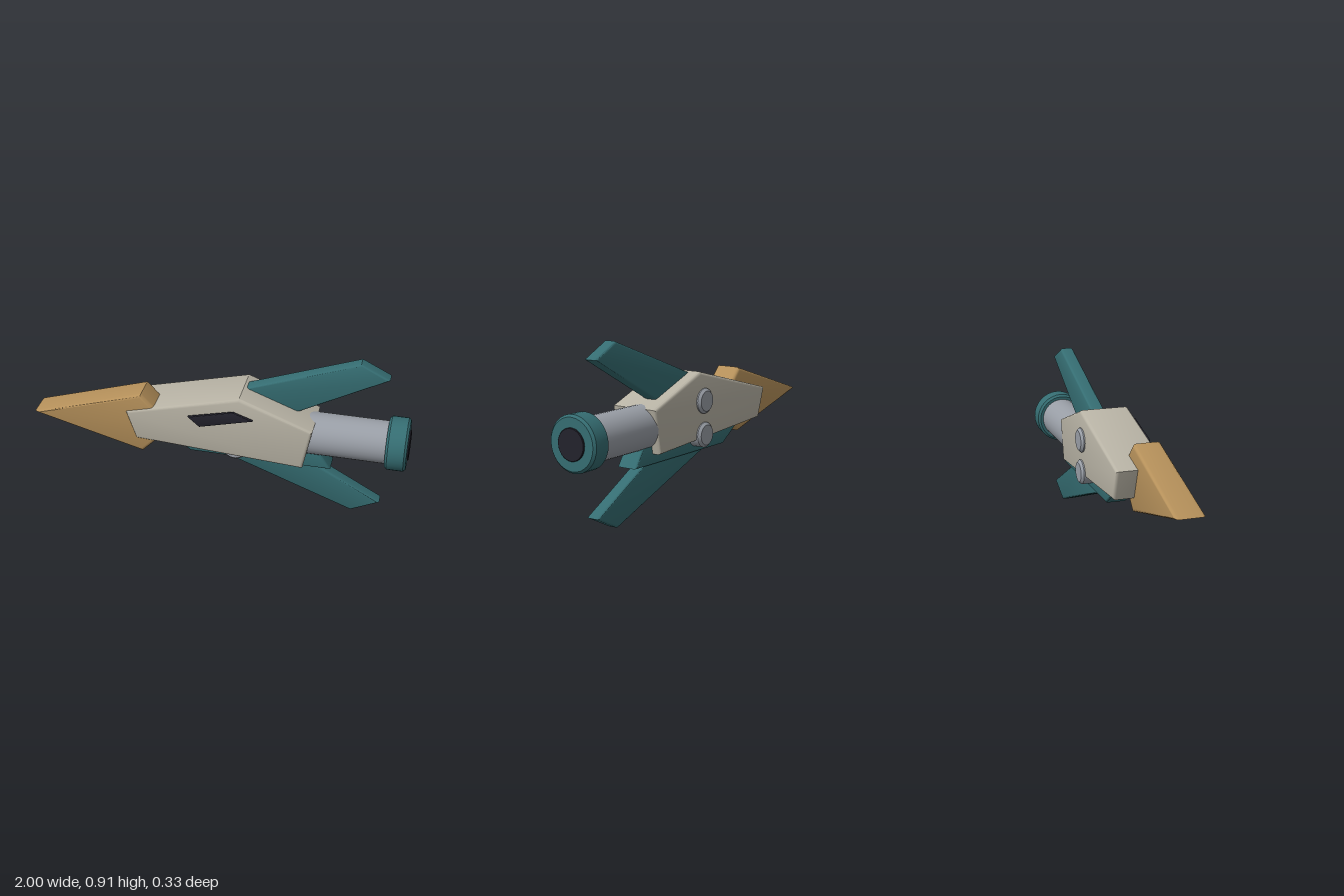
import * as THREE from 'three';
import { toCreasedNormals } from 'three/addons/utils/BufferGeometryUtils.js';

const mat = (name, color) => {
  const m = new THREE.MeshStandardMaterial({ color });
  m.name = name;
  return m;
};

// Bevelled slab: outline in x/y, filling z0..z1 exactly
function slab(points, z0, z1, bevel) {
  const shape = new THREE.Shape(points.map(([x, y]) => new THREE.Vector2(x, y)));
  const geo = new THREE.ExtrudeGeometry(shape, {
    depth: z1 - z0 - 2 * bevel,
    bevelEnabled: true,
    bevelThickness: bevel,
    bevelSize: bevel,
    bevelOffset: -bevel,
    bevelSegments: 3,
  });
  geo.translate(0, 0, z0 + bevel);
  return toCreasedNormals(geo, 0.6);
}

// Solid round bar with chamfered ends, running along y from a to b
function bar(radius, a, b, chamfer) {
  const profile = [
    [0, a], [radius - chamfer, a], [radius, a + chamfer],
    [radius, b - chamfer], [radius - chamfer, b], [0, b],
  ].map(([r, y]) => new THREE.Vector2(r, y));
  return toCreasedNormals(new THREE.LatheGeometry(profile, 32), 0.5);
}

export function createModel() {
  const model = new THREE.Group();
  model.name = 'rocketShip';

  const cream = mat('cream hull', 0xb8b3a5);
  const teal = mat('teal trim', 0x356d72);
  const gold = mat('gold nose', 0xb5905a);
  const grey = mat('grey metal', 0x999ea6);
  const dark = mat('dark glass', 0x23222c);

  const add = (name, geometry, material) => {
    const mesh = new THREE.Mesh(geometry, material);
    mesh.name = name;
    model.add(mesh);
    return mesh;
  };

  const axisY = 0.457, axisZ = -0.023;

  // Hull
  add('hull', slab([
    [-0.485, 0.54], [-0.43, 0.378], [0.465, 0.325], [0.51, 0.555], [0.125, 0.7],
  ], -0.137, 0.133, 0.016), cream);

  // Kite-shaped nose, set into the hull
  add('nose', slab([
    [-1, axisY], [-0.4, 0.293], [-0.23, 0.47], [-0.4, 0.65],
  ], -0.025, 0.125, 0.018), gold);

  // Swept fins, mirrored about the engine axis
  const fin = [[-0.2, 0.567], [0.2, 0.469], [0.87, 0.838], [0.72, 0.913]];
  add('upperFin', slab(fin, -0.071, 0.002, 0.013), teal);
  add('lowerFin', slab(
    fin.map(([x, y]) => [x, 2 * axisY - y]).reverse(), -0.071, 0.002, 0.013), teal);

  // Keel under the hull
  add('keel', slab([
    [-0.36, 0.41], [-0.16, 0.27], [0.6, 0.27], [0.517, 0.4],
  ], -0.087, 0.03, 0.013), teal);

  // Engine: pipe, nozzle ring and exhaust opening along x
  const engine = (name, radius, a, b, chamfer, material) => {
    const geo = bar(radius, a, b, chamfer);
    geo.rotateZ(-Math.PI / 2);
    geo.translate(0, axisY, axisZ);
    add(name, geo, material);
  };
  engine('enginePipe', 0.113, 0.3, 0.9, 0.005, grey);
  engine('nozzleRing', 0.141, 0.883, 0.992, 0.012, teal);
  engine('exhaustOpening', 0.08, 0.98, 1.0, 0.003, dark);

  // Two round bolts passing through the hull, showing on the back
  [0.545, 0.367].forEach((y, i) => {
    const geo = bar(0.066, -0.157, 0.1, 0.013);
    geo.rotateX(Math.PI / 2);
    geo.translate(0.096, y, 0);
    add(i ? 'lowerBolt' : 'upperBolt', geo, grey);
  });

  // Side window plate
  add('window', slab([
    [-0.137, 0.58], [-0.075, 0.527], [0.207, 0.603], [0.1, 0.64],
  ], 0.152, 0.168, 0.004), dark);

  return model;
}
